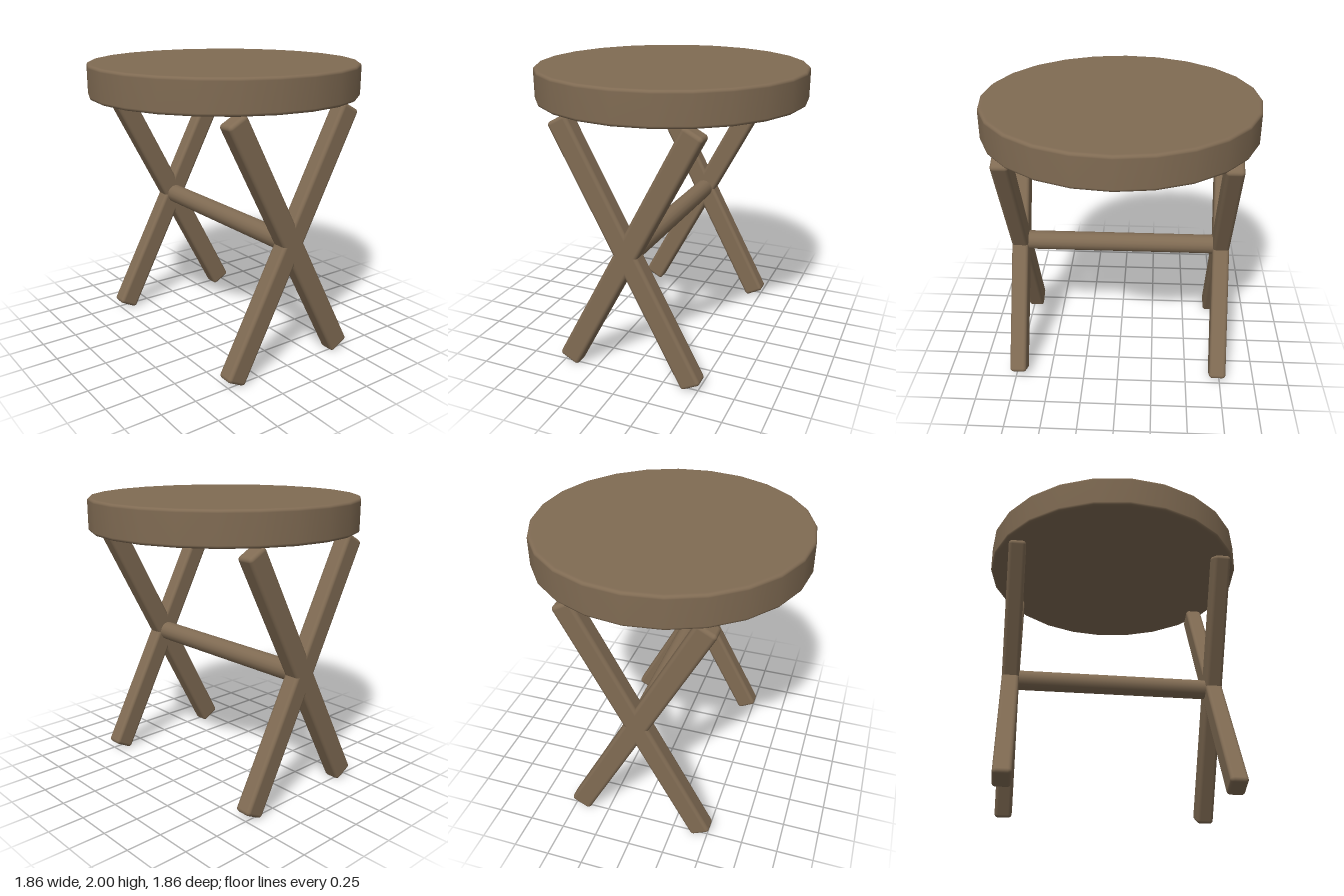
import * as THREE from 'three';
import { RoundedBoxGeometry } from 'three/addons/geometries/RoundedBoxGeometry.js';

export function createModel() {
  const stool = new THREE.Group();
  stool.name = 'stool';
  const wood = new THREE.MeshStandardMaterial({ color: 0x806b53 });
  wood.name = 'brown wood';

  const add = (name, geometry, parent = stool) => {
    const mesh = new THREE.Mesh(geometry, wood);
    mesh.name = name;
    parent.add(mesh);
    return mesh;
  };

  // Round seat: 24-sided disc with softly rounded rims
  const R = 0.93, bottom = 1.775, top = 2, r = 0.02;
  const profile = [new THREE.Vector2(0, bottom), new THREE.Vector2(R - r - 0.01, bottom)];
  for (const [cy, start] of [[bottom + r, -Math.PI / 2], [top - r, 0]]) {
    for (let i = 0; i <= 4; i++) {
      const a = start + (i / 4) * Math.PI / 2;
      profile.push(new THREE.Vector2(R - r + r * Math.cos(a), cy + r * Math.sin(a)));
    }
  }
  profile.push(new THREE.Vector2(R - r - 0.01, top), new THREE.Vector2(0, top));
  add('seat', new THREE.LatheGeometry(profile, 24));

  // Two pairs of crossed legs
  const legShape = new RoundedBoxGeometry(0.12, 1.95, 0.15, 3, 0.025);
  const tilt = THREE.MathUtils.degToRad(28);
  for (const [side, x] of [['left', 0.73], ['right', -0.73]]) {
    const pair = new THREE.Group();
    pair.name = side + 'LegPair';
    pair.position.set(x, 0.8875, 0);
    stool.add(pair);
    add(side + 'LegTiltedForward', legShape, pair).rotation.x = tilt;
    add(side + 'LegTiltedBack', legShape, pair).rotation.x = -tilt;
  }

  // Round crossbar joining the two leg crossings
  const bar = add('crossbar', new THREE.CylinderGeometry(0.069, 0.069, 1.42, 16));
  bar.rotation.z = Math.PI / 2;
  bar.position.y = 0.8875;

  return stool;
}
